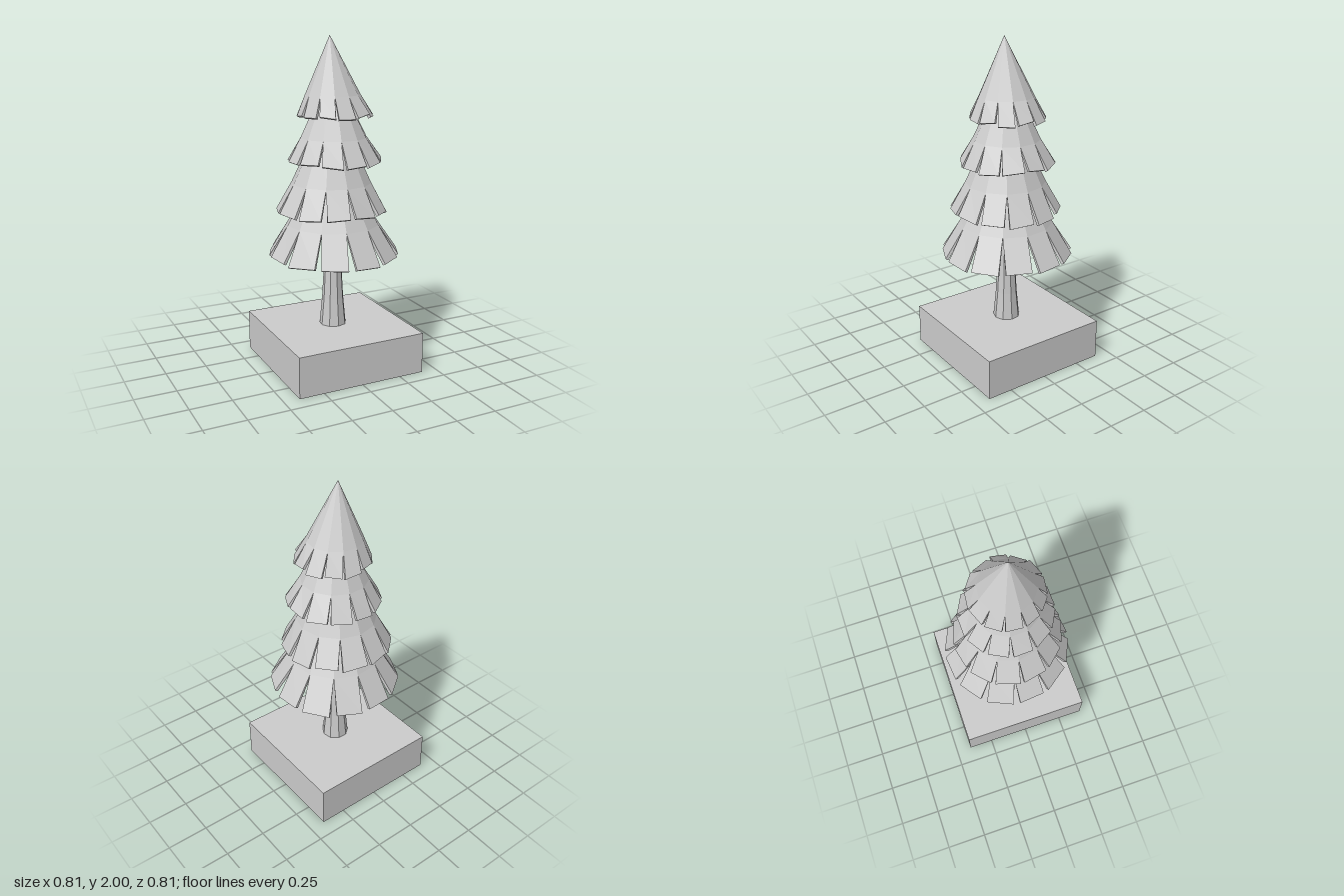
import * as THREE from 'three';

const material = new THREE.MeshStandardMaterial({ color: 0xcccccc, flatShading: true, side: THREE.DoubleSide });
const TABS = 12;
const STEP = (Math.PI * 2) / TABS;

// Small repeatable jitter in -1..1
function makeJitter(seed) {
  let s = seed;
  return () => {
    s = (s * 16807) % 2147483647;
    return (s / 2147483647) * 2 - 1;
  };
}

// One hollow cone of foliage, split below the middle ring into twelve flared tabs.
// Rings are [radius, y, centre x]; halfWidth is half of a tab's lower edge.
function createTier({ top, mid, low, halfWidth, phase, seed }) {
  const jitter = makeJitter(seed);
  const thick = 0.016;
  const positions = [];
  const quad = (a, b, c, d) => positions.push(...a, ...b, ...c, ...a, ...c, ...d);

  for (let k = 0; k < TABS; k++) {
    const angle = THREE.MathUtils.degToRad(phase) + k * STEP;
    // Corners shared with the neighbouring tab
    const ringRow = ([r, y, cx]) => {
      const at = (side, radius, height) => {
        const a = angle + (side * STEP) / 2;
        return [cx + Math.cos(a) * radius, height, Math.sin(a) * radius];
      };
      const inner = Math.max(r - thick, 0);
      return [at(1, r, y), at(-1, r, y), at(-1, inner, y - thick / 2), at(1, inner, y - thick / 2)];
    };
    // Free lower edge of the tab, slightly uneven
    const tabRow = ([r, y, cx]) => {
      const w = halfWidth * (1 + jitter() * 0.08);
      const drop = jitter() * 0.01;
      const tilt = jitter() * 0.008;
      const at = (side, radius, height) => [
        cx + Math.cos(angle) * radius - Math.sin(angle) * side * w,
        height + drop + side * tilt,
        Math.sin(angle) * radius + Math.cos(angle) * side * w,
      ];
      const inner = r - thick;
      return [at(1, r, y), at(-1, r, y), at(-1, inner, y - thick / 2), at(1, inner, y - thick / 2)];
    };

    const rows = [ringRow(top), ringRow(mid), tabRow(low)];
    for (let i = 0; i < 2; i++) {
      for (let j = 0; j < 4; j++) {
        if (i === 0 && j % 2 === 1) continue; // joined sides need no walls
        const n = (j + 1) % 4;
        quad(rows[i][j], rows[i + 1][j], rows[i + 1][n], rows[i][n]);
      }
    }
    const [a, b, c, d] = rows[2];
    quad(a, d, c, b);
  }

  const geometry = new THREE.BufferGeometry();
  geometry.setAttribute('position', new THREE.Float32BufferAttribute(positions, 3));
  geometry.computeVertexNormals();
  return geometry;
}

export function createModel() {
  const model = new THREE.Group();
  model.name = 'pineTree';
  const add = (name, geometry) => {
    const mesh = new THREE.Mesh(geometry, material);
    mesh.name = name;
    model.add(mesh);
    return mesh;
  };

  // Square ground block
  add('groundBlock', new THREE.BoxGeometry(0.81, 0.25, 0.81)).position.y = 0.125;

  // Faceted trunk, flared at the foot
  const trunkProfile = [[0.082, 0.25], [0.066, 0.42], [0.056, 0.6], [0.05, 0.9], [0.03, 1.3], [0, 1.5]];
  add('trunk', new THREE.LatheGeometry(trunkProfile.map(([r, y]) => new THREE.Vector2(r, y)), 9));

  // Foliage tiers, bottom to top
  const tiers = [
    { name: 'lowestFoliage', top: [0.13, 1.16, -0.005], mid: [0.28, 0.89, 0], low: [0.387, 0.705, 0.005], halfWidth: 0.083, phase: -5.5, seed: 11 },
    { name: 'lowerFoliage', top: [0.1, 1.44, -0.01], mid: [0.24, 1.14, -0.01], low: [0.325, 0.975, -0.01], halfWidth: 0.071, phase: -12, seed: 23 },
    { name: 'upperFoliage', top: [0.065, 1.69, 0], mid: [0.2, 1.41, 0.005], low: [0.275, 1.275, 0.012], halfWidth: 0.06, phase: -2, seed: 37 },
    { name: 'topFoliage', top: [0, 2, -0.02], mid: [0.163, 1.66, 0], low: [0.22, 1.54, 0.015], halfWidth: 0.05, phase: 7, seed: 53 },
  ];
  for (const tier of tiers) add(tier.name, createTier(tier));

  return model;
}
